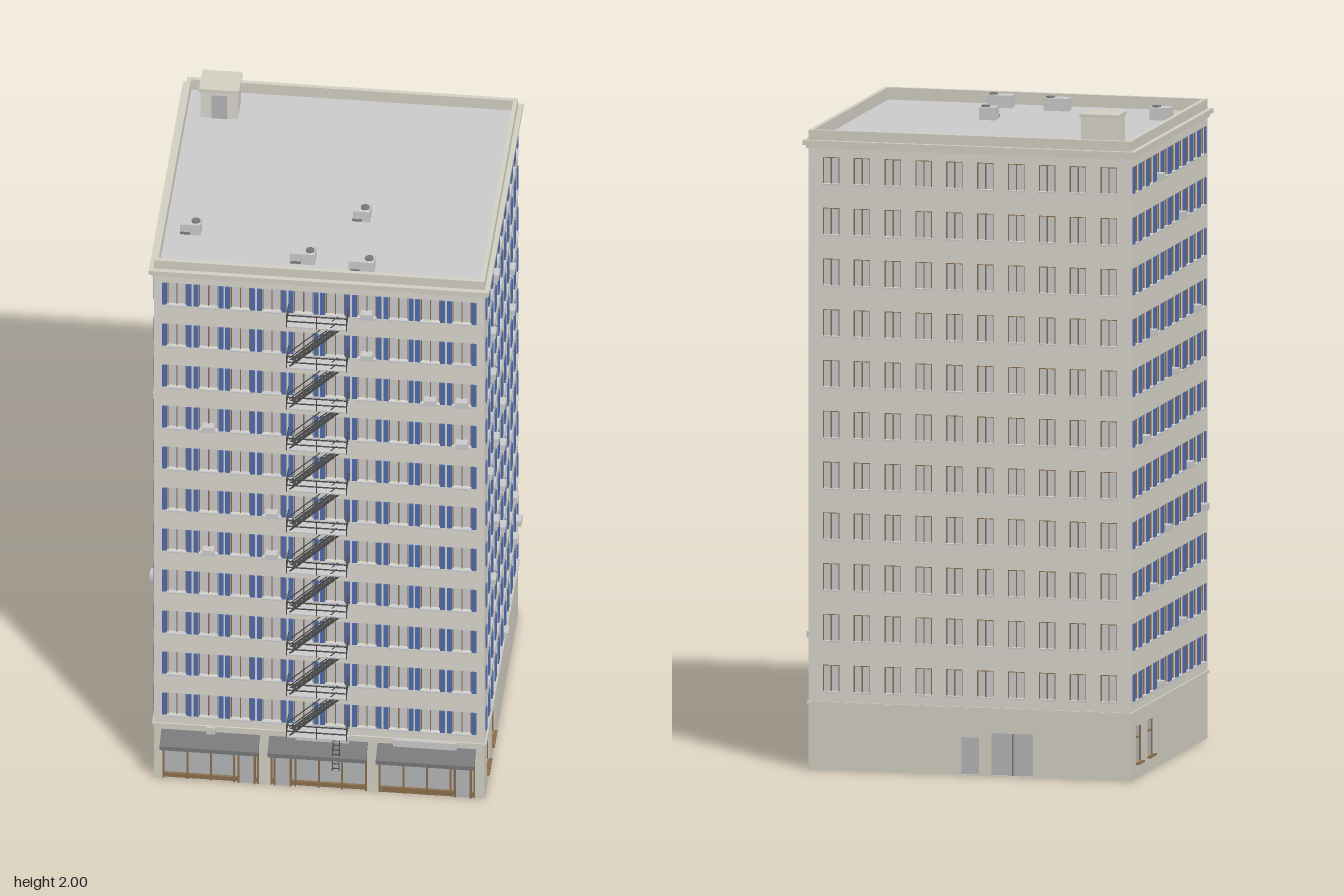
import * as THREE from 'three';
import { mergeGeometries } from 'three/addons/utils/BufferGeometryUtils.js';

const mat = (color) => new THREE.MeshStandardMaterial({ color, side: THREE.DoubleSide });
const GREY = mat(0xcccccc), WALL = mat(0xdad7cd), BASE = mat(0xd3d0c3), BLUE = mat(0x4f6cab);
const WOOD = mat(0x8c6e4c), DARK = mat(0x77787a), GLASS = mat(0xb4b6b8), IRON = mat(0x4a4a4a);

// Overall sizes
const HX = 0.4965, ZF = 0.437, ZB = -0.48, CZ = (ZF + ZB) / 2, HZ = (ZF - ZB) / 2;
const BASE_TOP = 0.2, WALL_TOP = 1.885, ROOF = 1.893, PARAPET_TOP = 1.93;
const FLOORS = 11, COLS = 10, SILL_Y = 0.238, FLOOR_H = 0.1532, WIN_H = 0.08;
const SHOPS = [[-0.326, 1], [-0.002, -1], [0.323, 1]]; // centre, side of the door

const box = (w, h, d, x, y, z) => new THREE.BoxGeometry(w, h, d).translate(x, y, z);

// Square bar between two points
function bar(a, b, t = 0.003) {
  const p = new THREE.Vector3(...a), q = new THREE.Vector3(...b), dir = q.clone().sub(p);
  const turn = new THREE.Quaternion().setFromUnitVectors(new THREE.Vector3(0, 1, 0), dir.clone().normalize());
  const mid = p.add(q).multiplyScalar(0.5);
  return new THREE.BoxGeometry(t, dir.length(), t).applyQuaternion(turn).translate(mid.x, mid.y, mid.z);
}

function add(group, name, geometries, material) {
  if (!geometries.length) return;
  const mesh = new THREE.Mesh(geometries.length > 1 ? mergeGeometries(geometries) : geometries[0], material);
  mesh.name = name;
  group.add(mesh);
}

const rectPoints = (x0, y0, x1, y1) => [[x0, y0], [x1, y0], [x1, y1], [x0, y1]].map((p) => new THREE.Vector2(...p));

// Thin wall with rectangular openings, outer face at z = 0
function slab(halfW, y0, y1, holes) {
  const shape = new THREE.Shape(rectPoints(-halfW, y0, halfW, y1));
  shape.holes = holes.map((h) => new THREE.Path(rectPoints(...h).reverse()));
  return new THREE.ExtrudeGeometry(shape, { depth: 0.012, bevelEnabled: false }).translate(0, 0, -0.012);
}

// Horizontal rectangular ring around the building
function ring(out, inner, y0, y1) {
  const shape = new THREE.Shape(rectPoints(-HX - out, -HZ - out, HX + out, HZ + out));
  shape.holes = [new THREE.Path(rectPoints(-HX + inner, -HZ + inner, HX - inner, HZ - inner).reverse())];
  return new THREE.ExtrudeGeometry(shape, { depth: y1 - y0, bevelEnabled: false })
    .rotateX(-Math.PI / 2).translate(0, y0, CZ);
}

// One side: wall, windows, shutters, window coolers and ground floor openings
function facade(name, halfW, { winW, shutters, coolers = [], openings }) {
  const group = new THREE.Group();
  group.name = name;
  const pitch = (2 * halfW - 0.042) / COLS;
  const colX = (c) => (c - (COLS - 1) / 2) * pitch;
  const holes = [], panes = [], frames = [], sills = [], blinds = [];
  for (let f = 0; f < FLOORS; f++) for (let c = 0; c < COLS; c++) {
    const x = colX(c), y = SILL_Y + f * FLOOR_H, yc = y + WIN_H / 2;
    holes.push([x - winW / 2, y, x + winW / 2, y + WIN_H]);
    panes.push(box(winW, WIN_H, 0.002, x, yc, -0.009));
    for (const s of [-1, 1]) {
      frames.push(box(0.003, WIN_H, 0.004, x + s * (winW / 2 - 0.0015), yc, -0.006));
      if (shutters) blinds.push(box(0.0145, WIN_H, 0.004, x + s * (winW / 2 + 0.0083), yc, 0.002));
    }
    frames.push(box(0.003, WIN_H, 0.004, x, yc, -0.006));
    frames.push(box(winW, 0.003, 0.004, x, y + WIN_H - 0.0015, -0.006));
    sills.push(box(winW + 0.004, 0.005, 0.012, x, y - 0.0025, 0.001));
  }
  add(group, 'upperWall', [slab(halfW, BASE_TOP, WALL_TOP, holes)], WALL);
  add(group, 'windowPanes', panes, GREY);
  add(group, 'windowFrames', frames, WOOD);
  add(group, 'windowSills', sills, GREY);
  add(group, 'shutters', blinds, BLUE);
  add(group, 'windowCoolers', coolers.map(([c, f]) =>
    box(0.036, 0.02, 0.026, colX(c), SILL_Y + f * FLOOR_H + 0.01, 0.005)), GREY);
  add(group, 'groundWall', [slab(halfW, 0, BASE_TOP, openings)], BASE);
  add(group, 'groundPanels', openings.map(([x0, y0, x1, y1]) =>
    box(x1 - x0, y1 - y0, 0.002, (x0 + x1) / 2, (y0 + y1) / 2, -0.01)), GLASS);
  return group;
}

// Frame and mid bar of a ground floor side window
function sideWindowTrim(group, openings) {
  const trim = openings.flatMap(([x0, y0, x1, y1]) => {
    const x = (x0 + x1) / 2, y = (y0 + y1) / 2, w = x1 - x0;
    return [box(w, 0.004, 0.005, x, y + 0.02, -0.007), box(w, 0.004, 0.005, x, y1 - 0.002, -0.007),
      box(w + 0.006, 0.005, 0.014, x, y0 - 0.002, 0.001),
      box(0.003, y1 - y0, 0.005, x0 + 0.0015, y, -0.007), box(0.003, y1 - y0, 0.005, x1 - 0.0015, y, -0.007)];
  });
  add(group, 'groundWindowFrames', trim, WOOD);
}

// Shop front with posts, door, awning and sign board
function shop(x, side) {
  const group = new THREE.Group();
  group.name = 'shop';
  const doorX = side * 0.108;
  const wood = [box(0.29, 0.006, 0.01, 0, 0.132, -0.004), box(0.29, 0.018, 0.008, 0, 0.009, -0.004)];
  for (const px of [-0.142, -0.07, 0, 0.07, 0.142]) wood.push(box(0.005, 0.135, 0.01, px, 0.0675, -0.004));
  for (const s of [-1, 1]) wood.push(box(0.006, 0.125, 0.008, doorX + s * 0.024, 0.0625, 0));
  wood.push(box(0.054, 0.006, 0.008, doorX, 0.122, 0));
  add(group, 'shopFrame', wood, WOOD);
  add(group, 'shopDoor', [box(0.042, 0.118, 0.004, doorX, 0.06, -0.001)], GLASS);
  const profile = new THREE.Shape([[0, 0.182], [0.054, 0.156], [0.054, 0.142], [0.051, 0.142], [0.051, 0.152], [0, 0.176]]
    .map((p) => new THREE.Vector2(...p)));
  add(group, 'awning', [new THREE.ExtrudeGeometry(profile, { depth: 0.296, bevelEnabled: false })
    .rotateY(-Math.PI / 2).translate(0.148, 0, 0)], DARK);
  group.position.set(x, 0, ZF);
  return group;
}

// Landings, railings, brackets and one flight between each pair of floors
function fireEscape() {
  const group = new THREE.Group();
  group.name = 'fireEscape';
  const x0 = -0.092, x1 = 0.088, z0 = ZF + 0.002, z1 = 0.4935, decks = [], rails = [], flights = [];
  for (let f = 0; f < FLOORS; f++) {
    const y = SILL_Y - 0.014 + f * FLOOR_H;
    decks.push(box(x1 - x0, 0.004, z1 - z0, (x0 + x1) / 2, y, (z0 + z1) / 2));
    for (const h of [0.022, 0.044]) {
      rails.push(bar([x0, y + h, z1], [x1, y + h, z1]));
      for (const x of [x0, x1]) rails.push(bar([x, y + h, z0], [x, y + h, z1]));
    }
    for (const x of [x0, (x0 + x1) / 2, x1]) rails.push(bar([x, y, z1], [x, y + 0.045, z1]));
    for (const x of [x0 + 0.008, x1 - 0.008]) rails.push(bar([x, y, z1 - 0.004], [x, y - 0.036, z0]));
    if (f === FLOORS - 1) continue;
    for (const z of [z0 + 0.014, z1 - 0.008]) {
      flights.push(bar([-0.085, y, z], [0.07, y + FLOOR_H, z], 0.004));
      flights.push(bar([-0.085, y + 0.032, z], [0.058, y + FLOOR_H + 0.02, z], 0.0025));
    }
    for (let i = 1; i < 11; i++)
      flights.push(box(0.011, 0.002, 0.034, -0.085 + 0.155 * i / 11, y + FLOOR_H * i / 11, (z0 + z1) / 2 + 0.003));
  }
  add(group, 'landings', decks, GREY);
  add(group, 'railings', rails, IRON);
  add(group, 'flights', flights, IRON);
  // Drop ladder under the lowest landing
  const ladder = [0.045, 0.065].map((x) => bar([x, 0.11, 0.493], [x, 0.23, 0.47]));
  for (let i = 0; i < 8; i++) {
    const t = (i + 0.5) / 8;
    ladder.push(box(0.02, 0.002, 0.003, 0.055, 0.11 + 0.12 * t, 0.493 - 0.023 * t));
  }
  add(group, 'dropLadder', ladder, IRON);
  return group;
}

export function createModel() {
  const model = new THREE.Group();
  model.name = 'apartmentBuilding';

  // Four sides
  const front = facade('frontSide', HX, {
    winW: 0.058, shutters: true, openings: SHOPS.map(([x]) => [x - 0.145, 0.004, x + 0.145, 0.15]),
    coolers: [[6, 10], [6, 9], [8, 8], [9, 8], [1, 7], [9, 7], [3, 5], [1, 4], [3, 4]],
  });
  front.position.z = ZF;
  const back = facade('backSide', HX, {
    winW: 0.052, shutters: false, openings: [[-0.028, 0.002, 0.028, 0.115], [0.065, 0.002, 0.195, 0.13]],
  });
  add(back, 'backDoorTrim', [box(0.004, 0.126, 0.004, 0.13, 0.065, -0.008)], DARK);
  back.position.z = ZB;
  back.rotation.y = Math.PI;
  const sideHoles = [[-0.394, 0.045, -0.32, 0.155], [-0.256, 0.045, -0.18, 0.155]];
  const sideCoolers = {
    1: [[2, 10], [1, 9], [1, 8], [7, 8], [7, 7], [0, 6], [2, 6], [4, 6], [4, 5], [2, 4], [4, 4], [1, 3], [4, 3], [8, 2], [8, 1], [9, 1], [5, 0]],
    [-1]: [[3, 10], [6, 9], [2, 7], [8, 7], [5, 6], [1, 5], [7, 4], [4, 3], [9, 3], [2, 2], [6, 1], [3, 0]],
  };
  for (const s of [1, -1]) {
    const side = facade(s > 0 ? 'leftSide' : 'rightSide', HZ, {
      winW: 0.052, shutters: true, openings: sideHoles, coolers: sideCoolers[s],
    });
    sideWindowTrim(side, sideHoles);
    side.position.set(s * HX, 0, CZ);
    side.rotation.y = s * Math.PI / 2;
    model.add(side);
  }
  model.add(front, back, fireEscape(), ...SHOPS.map(([x, side]) => shop(x, side)));

  // Sign boards and lamp above the awnings
  add(model, 'signBoards', [box(0.19, 0.024, 0.012, 0.318, 0.193, ZF + 0.006),
    box(0.16, 0.024, 0.012, 0.01, 0.193, ZF + 0.006), box(0.026, 0.024, 0.012, -0.325, 0.193, ZF + 0.006)], GREY);

  // Ledge, cornice, parapet and roof
  add(model, 'baseLedge', [ring(0.005, 0.004, 0.198, 0.206)], BASE);
  add(model, 'cornice', [ring(0.007, 0.004, 1.876, 1.886), ring(0.0145, 0.004, 1.886, 1.9)], BASE);
  add(model, 'parapet', [ring(0, 0.013, 1.88, PARAPET_TOP)], BASE);
  add(model, 'roofDeck', [box(2 * HX - 0.01, 0.008, 2 * HZ - 0.01, 0, ROOF - 0.004, CZ)], GREY);

  // Stair hut on the roof
  add(model, 'roofHut', [box(0.112, 1.99 - ROOF, 0.09, -0.385, (1.99 + ROOF) / 2, -0.379)], WALL);
  add(model, 'roofHutCap', [box(0.12, 0.01, 0.098, -0.385, 1.995, -0.379)], BASE);
  add(model, 'roofHutDoor', [box(0.046, 0.086, 0.004, -0.385, ROOF + 0.043, -0.333)], GLASS);

  // Roof cooling units with a fan and a side pipe
  for (const [x, z, w, d] of [[0.093, 0.11, 0.05, 0.045], [-0.408, 0.231, 0.062, 0.042],
    [-0.06, 0.34, 0.076, 0.042], [0.12, 0.36, 0.076, 0.042]]) {
    const unit = new THREE.Group();
    unit.name = 'roofUnit';
    add(unit, 'unitCasing', [box(w, 0.038, d, 0, 0.019, 0)], GREY);
    add(unit, 'unitFan', [new THREE.CylinderGeometry(0.013, 0.013, 0.004, 16).translate(w / 2 - 0.016, 0.04, 0)], DARK);
    add(unit, 'unitPipe', [box(0.03, 0.006, 0.005, -w / 4, 0.008, d / 2 + 0.002)], DARK);
    unit.position.set(x, ROOF, z);
    model.add(unit);
  }
  return model;
}
